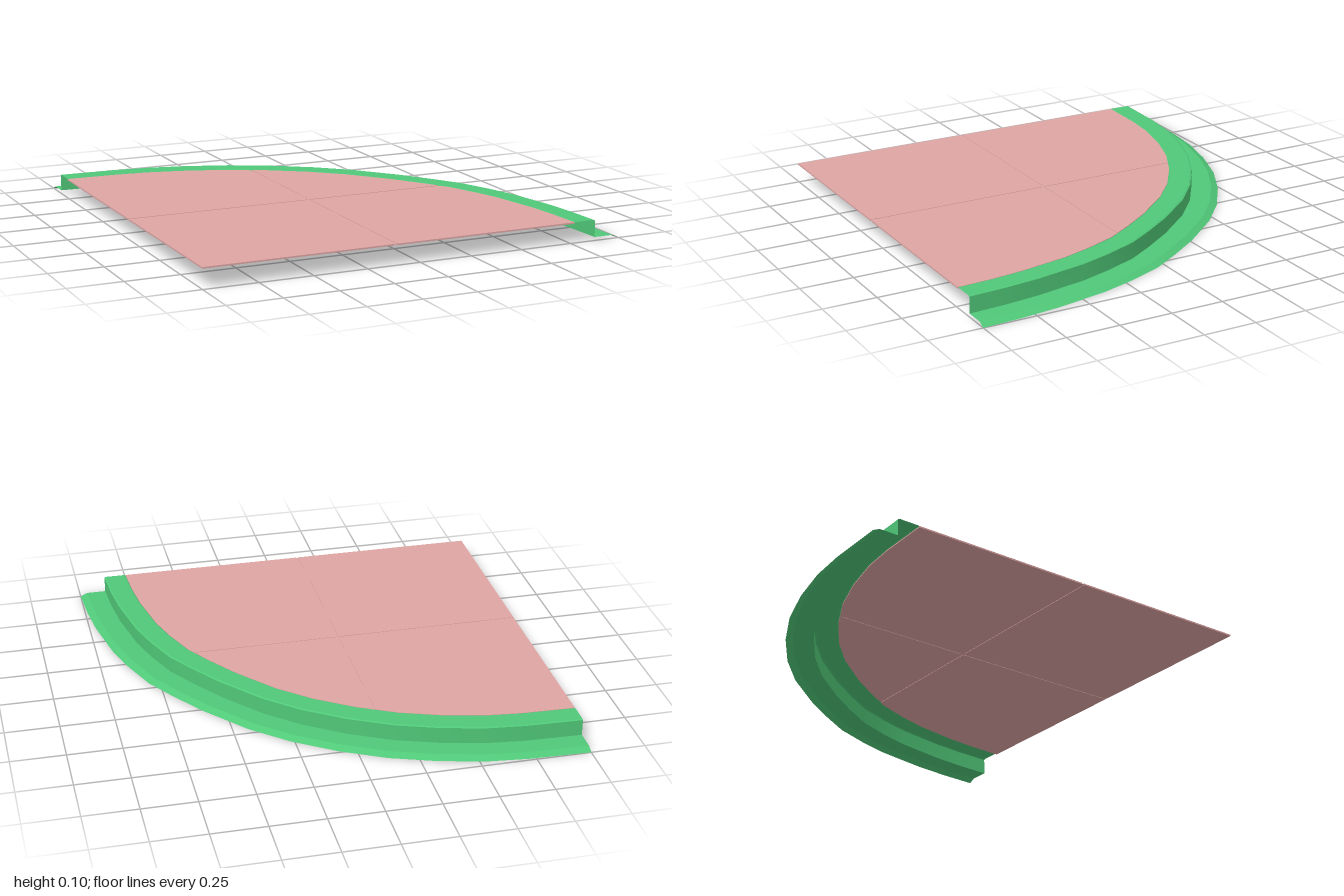
import * as THREE from 'three';
import { toCreasedNormals } from 'three/addons/utils/BufferGeometryUtils.js';

const green = new THREE.MeshStandardMaterial({ color: 0x50c878, side: THREE.DoubleSide });
const pink = new THREE.MeshStandardMaterial({ color: 0xdea5a4, side: THREE.DoubleSide });

// Outer curve of the quarter round as [x, z] distances from the square corner
const CURVE = [
  [0, 2], [0.28, 1.99], [0.46, 1.97], [0.67, 1.92], [0.88, 1.845], [1.08, 1.74], [1.27, 1.61],
  [1.43, 1.465], [1.6, 1.26], [1.71, 1.1], [1.8, 0.955], [1.87, 0.78], [1.92, 0.62], [1.97, 0.36],
  [1.99, 0.18], [2, 0],
];

// Sheet-metal profile as [scale of the curve, height]
const PROFILE = [
  [0.881, 0.088], [0.886, 0.0955], [0.934, 0.0955], [0.9375, 0.092],
  [0.9375, 0.016], [0.984, 0.016], [1, 0],
];

// Sweep one profile strip along the curve
function stripGeometry(a, b) {
  const pos = [], idx = [];
  CURVE.forEach(([x, z], i) => {
    for (const [s, y] of [a, b]) pos.push(-1 + x * s, y, 1 - z * s);
    if (i) {
      const k = 2 * i - 2;
      idx.push(k, k + 1, k + 2, k + 1, k + 3, k + 2);
    }
  });
  const g = new THREE.BufferGeometry();
  g.setAttribute('position', new THREE.Float32BufferAttribute(pos, 3));
  g.setIndex(idx.reverse());
  g.computeVertexNormals();
  return g;
}

// Cut a convex polygon, keeping the side where sign * (p[axis] - at) >= 0
function clip(poly, axis, at, sign) {
  const out = [];
  poly.forEach((p, i) => {
    const q = poly[(i + 1) % poly.length];
    const dp = sign * (p[axis] - at), dq = sign * (q[axis] - at);
    if (dp >= 0) out.push(p);
    if (dp * dq < 0) {
      const t = dp / (dp - dq);
      out.push([p[0] + (q[0] - p[0]) * t, p[1] + (q[1] - p[1]) * t]);
    }
  });
  return out;
}

// Flat plate from an [x, z] outline
function plate(poly, y, depth, name) {
  const shape = new THREE.Shape(poly.map(([x, z]) => new THREE.Vector2(x, -z)));
  const g = new THREE.ExtrudeGeometry(shape, { depth, bevelEnabled: false });
  g.rotateX(-Math.PI / 2).translate(0, y, 0);
  const mesh = new THREE.Mesh(toCreasedNormals(g, 0.5), pink);
  mesh.name = name;
  return mesh;
}

export function createModel() {
  const model = new THREE.Group();
  model.name = 'quarterRoundCover';

  // Curved rim: lip, upright wall, flange and turned-down edge
  const rim = new THREE.Group();
  rim.name = 'curvedRim';
  const names = ['lipEdge', 'lip', 'wallCorner', 'wall', 'flange', 'flangeEdge'];
  names.forEach((name, i) => {
    const mesh = new THREE.Mesh(stripGeometry(PROFILE[i], PROFILE[i + 1]), green);
    mesh.name = name;
    rim.add(mesh);
  });
  model.add(rim);

  // Four panels separated by narrow joints
  const outline = [[-1, 1], ...CURVE.map(([x, z]) => [-1 + x * 0.884, 1 - z * 0.884])];
  const jx = -0.12, jz = 0.115, half = 0.007;
  const panels = new THREE.Group();
  panels.name = 'panels';
  for (const sx of [-1, 1]) for (const sz of [-1, 1]) {
    const poly = clip(clip(outline, 0, jx + sx * half, sx), 1, jz + sz * half, sz);
    panels.add(plate(poly, 0.088, 0.007, 'panel'));
  }

  // Recessed strips closing the joints
  const along = clip(clip(outline, 0, jx - half, 1), 0, jx + half, -1);
  const across = clip(clip(outline, 1, jz - half, 1), 1, jz + half, -1);
  panels.add(plate(along, 0.09, 0.003, 'jointStrip'), plate(across, 0.0902, 0.0026, 'jointStrip'));
  model.add(panels);
  return model;
}
